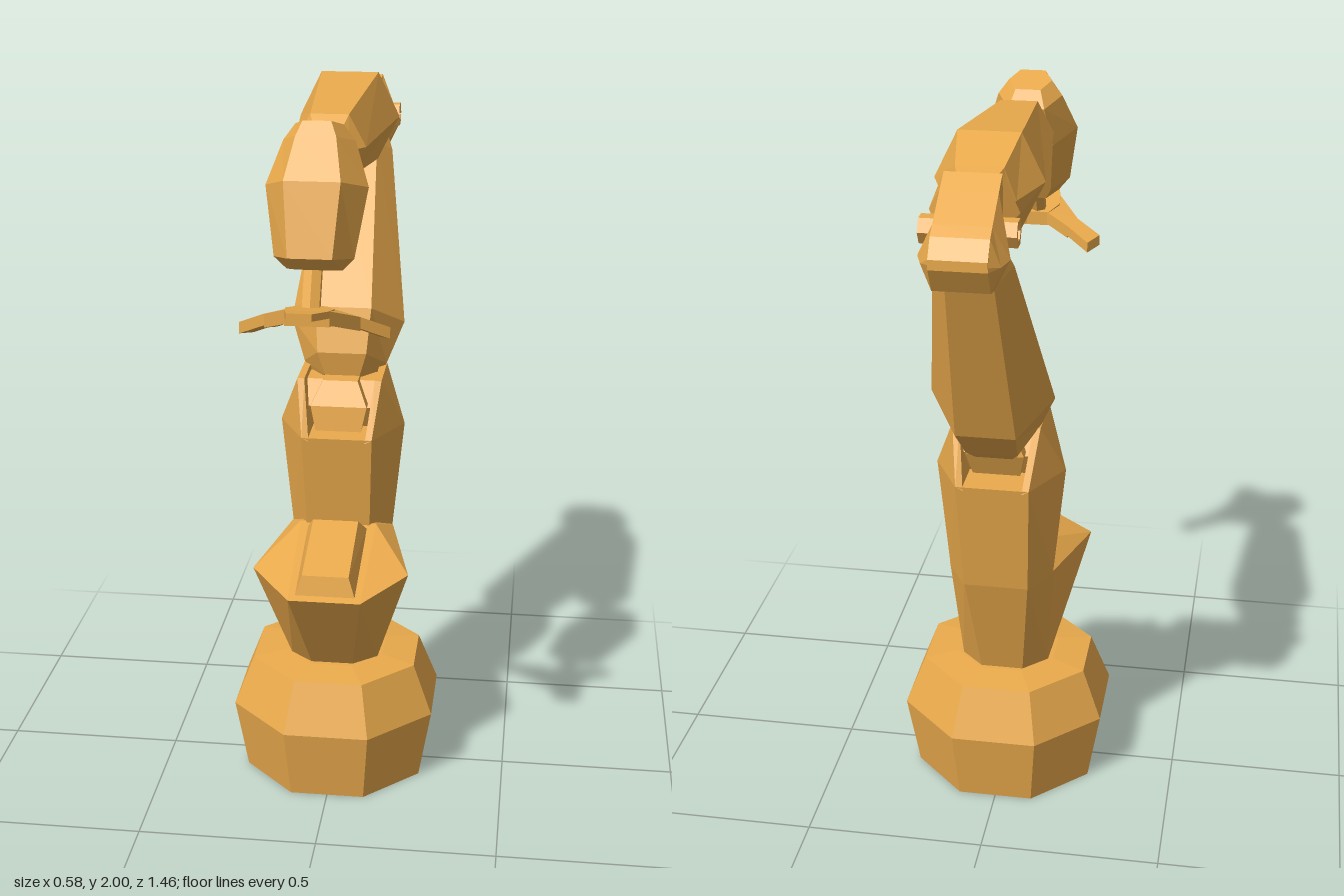
import * as THREE from 'three';
import { ConvexGeometry } from 'three/addons/geometries/ConvexGeometry.js';

const material = new THREE.MeshStandardMaterial({ color: 0xeaaa4c, flatShading: true });

const named = (name, geometry) => {
  const mesh = new THREE.Mesh(geometry, material);
  mesh.name = name;
  return mesh;
};

// Faceted solid around a few corner points [x, y, z]
const hull = (name, points) =>
  named(name, new ConvexGeometry(points.map((p) => new THREE.Vector3(...p))));

// Adds the opposite side of each point
const mirrored = (points) => points.flatMap(([x, y, z]) => [[x, y, z], [-x, y, z]]);

// Six-sided limb. Each section: front [y, z], back [y, z], half-width of the flat faces, half-width at the sides.
// Sections run upwards, or from front to back with the top edge given as the front.
function limb(name, sections) {
  const pos = [];
  const rings = sections.map(([f, b, flat, side]) => {
    const my = (f[0] + b[0]) / 2, mz = (f[1] + b[1]) / 2;
    return [[flat, ...f], [side, my, mz], [flat, ...b], [-flat, ...b], [-side, my, mz], [-flat, ...f]];
  });
  const tri = (...pts) => pts.forEach((p) => pos.push(...p));
  for (let i = 0; i < rings.length - 1; i++) {
    for (let j = 0; j < 6; j++) {
      const k = (j + 1) % 6, A = rings[i], B = rings[i + 1];
      tri(A[j], A[k], B[j], A[k], B[k], B[j]);
    }
  }
  const first = rings[0], last = rings[rings.length - 1];
  for (let j = 1; j < 5; j++) {
    tri(first[0], first[j + 1], first[j]);
    tri(last[0], last[j], last[j + 1]);
  }
  const g = new THREE.BufferGeometry();
  g.setAttribute('position', new THREE.Float32BufferAttribute(pos, 3));
  g.computeVertexNormals();
  return named(name, g);
}

// Straight bar between two points
function bar(name, a, b, radius) {
  const A = new THREE.Vector3(...a), B = new THREE.Vector3(...b);
  const dir = B.clone().sub(A);
  const mesh = named(name, new THREE.CylinderGeometry(radius, radius, dir.length(), 6));
  mesh.position.copy(A).add(B).multiplyScalar(0.5);
  mesh.quaternion.setFromUnitVectors(new THREE.Vector3(0, 1, 0), dir.normalize());
  return mesh;
}

// Lathe from [radius, height] pairs
const lathe = (name, profile, sides, start = 0) =>
  named(name, new THREE.LatheGeometry(profile.map(([r, y]) => new THREE.Vector2(r, y)), sides, start));

export function createModel() {
  const model = new THREE.Group();
  model.name = 'robotArm';

  // Octagonal base, flats facing the axes
  const c = 1 / Math.cos(Math.PI / 8);
  const base = lathe('base',
    [[0, 0], [0.255, 0], [0.29, 0.21], [0.235, 0.355], [0.14, 0.365], [0, 0.365]].map(([r, y]) => [r * c, y]),
    8, Math.PI / 8);
  base.position.z = -0.008;
  model.add(base);

  // Flared lower body with a sloping front deck
  model.add(hull('lowerBody', mirrored([
    [0.06, 0.36, 0.115], [0.125, 0.36, 0.06], [0.125, 0.36, -0.07], [0.06, 0.36, -0.135],
    [0.1, 0.65, 0.31], [0.22, 0.675, 0.16], [0.15, 0.70, -0.135], [0.09, 0.70, -0.24],
    [0.11, 0.745, -0.03],
  ])));
  model.add(hull('deckPanel', mirrored([
    [0.085, 0.65, 0.288], [0.065, 0.712, 0.275], [0.065, 0.778, 0.035],
    [0.085, 0.74, -0.005], [0.085, 0.65, -0.005],
  ])));

  // Upright body with a pair of fork cheeks
  model.add(hull('upperBody', mirrored([
    [0.09, 0.69, -0.03], [0.147, 0.69, -0.14], [0.09, 0.69, -0.24],
    [0.1, 1.02, 0.02], [0.18, 1.02, -0.14], [0.1, 1.02, -0.295],
  ])));
  for (const s of [1, -1]) {
    model.add(hull(s > 0 ? 'leftForkCheek' : 'rightForkCheek', [
      [0.08, 1.01, 0.02], [0.1, 1.02, 0.02], [0.18, 1.02, -0.14], [0.1, 1.02, -0.295],
      [0.08, 1.01, -0.295], [0.12, 1.175, -0.05], [0.12, 1.175, -0.22],
      [0.1, 1.175, -0.05], [0.1, 1.175, -0.22],
    ].map(([x, y, z]) => [s * x, y, z])));
  }
  model.add(hull('shoulderJoint', mirrored([
    [0.065, 1.03, -0.02], [0.08, 1.1, -0.03], [0.05, 1.165, -0.07],
    [0.065, 1.03, -0.22], [0.08, 1.1, -0.25], [0.05, 1.165, -0.24],
  ])));
  model.add(bar('shoulderAxle', [-0.115, 1.09, -0.14], [0.115, 1.09, -0.14], 0.08));

  // Upper arm
  model.add(limb('upperArm', [
    [[1.165, -0.12], [1.10, -0.265], 0.05, 0.09],
    [[1.235, -0.107], [1.125, -0.295], 0.07, 0.12],
    [[1.36, -0.145], [1.215, -0.388], 0.08, 0.165],
    [[1.775, -0.475], [1.70, -0.59], 0.06, 0.1],
    [[1.82, -0.52], [1.76, -0.61], 0.05, 0.08],
  ]));

  // Elbow housing, pinched at the sides where the hollow-ended pin comes out
  model.add(limb('elbow', [
    [[1.91, -0.445], [1.79, -0.445], 0.06, 0.07],
    [[1.96, -0.525], [1.765, -0.495], 0.07, 0.11],
    [[1.93, -0.575], [1.735, -0.57], 0.07, 0.08],
    [[1.875, -0.665], [1.712, -0.635], 0.07, 0.11],
    [[1.855, -0.695], [1.722, -0.69], 0.07, 0.095],
    [[1.81, -0.728], [1.785, -0.728], 0.07, 0.07],
  ]));
  const pin = lathe('elbowPin', [
    [0, -0.1], [0.02, -0.1], [0.02, -0.118], [0.036, -0.118],
    [0.036, 0.118], [0.02, 0.118], [0.02, 0.1], [0, 0.1],
  ], 6);
  pin.rotation.z = Math.PI / 2;
  pin.position.set(0, 1.835, -0.578);
  model.add(pin);

  // Forearm and wrist
  model.add(limb('forearm', [
    [[1.92, 0.215], [1.84, 0.215], 0.03, 0.055],
    [[1.963, 0.16], [1.797, 0.16], 0.05, 0.095],
    [[2.0, -0.30], [1.757, -0.30], 0.08, 0.14],
    [[1.95, -0.44], [1.79, -0.44], 0.06, 0.09],
    [[1.94, -0.47], [1.79, -0.47], 0.05, 0.075],
  ]));
  model.add(bar('wrist', [0, 1.88, 0.2], [0, 1.88, 0.31], 0.028));

  // Hand
  model.add(limb('hand', [
    [[1.645, 0.51], [1.62, 0.405], 0.04, 0.07],
    [[1.683, 0.553], [1.65, 0.39], 0.055, 0.1],
    [[1.862, 0.505], [1.80, 0.315], 0.07, 0.128],
    [[1.957, 0.43], [1.91, 0.283], 0.05, 0.09],
    [[1.99, 0.405], [1.957, 0.31], 0.035, 0.06],
  ]));
  model.add(bar('clawStem', [0, 1.65, 0.475], [0, 1.545, 0.53], 0.025));

  // Three-pronged claw made of thin plates
  const claw = new THREE.Group();
  claw.name = 'claw';
  const plate = (name, corners, t) =>
    claw.add(hull(name, corners.flatMap(([x, y, z]) => [[x, y, z], [x, y - t, z]])));
  plate('clawHub', mirrored([[0.055, 1.57, 0.605], [0.06, 1.56, 0.55], [0.035, 1.55, 0.495]]), 0.04);
  plate('frontProng', mirrored([[0.055, 1.57, 0.605], [0.03, 1.6, 0.735]]), 0.018);
  for (const s of [1, -1]) {
    const side = s > 0 ? 'left' : 'right';
    const root = [[s * 0.055, 1.57, 0.605], [s * 0.03, 1.55, 0.495]];
    const bend = [[s * 0.12, 1.53, 0.51], [s * 0.095, 1.52, 0.465]];
    const tip = [[s * 0.19, 1.495, 0.472], [s * 0.16, 1.485, 0.425]];
    plate(side + 'ProngRoot', [...root, ...bend], 0.036);
    plate(side + 'ProngTip', [...bend, ...tip], 0.03);
  }
  model.add(claw);

  return model;
}
